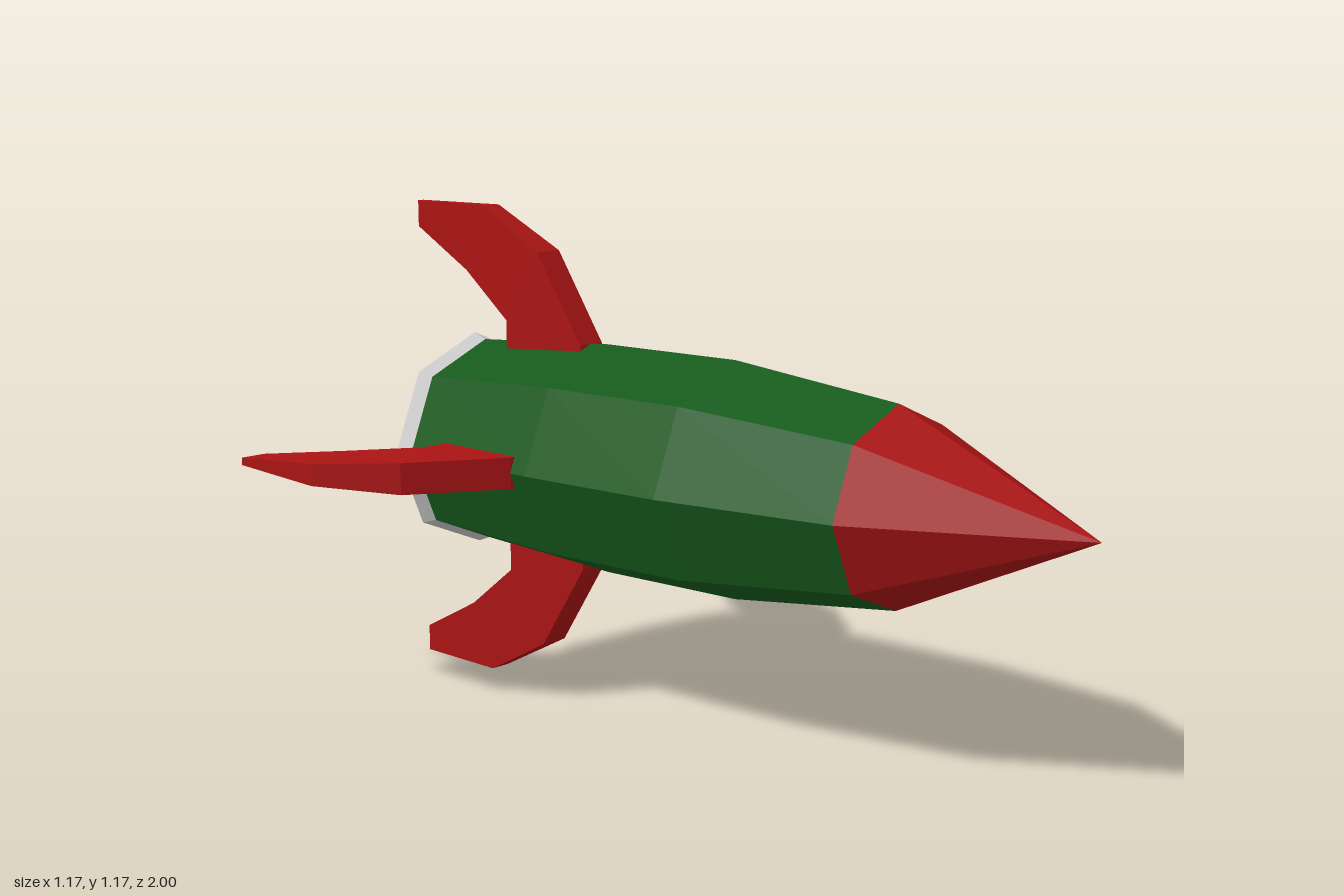
import * as THREE from 'three';

const AXIS_Y = 0.585;
const SIDES = 8;
const paint = (color) => new THREE.MeshStandardMaterial({ color, flatShading: true });

// Eight-sided hull section along z, from radius rFront at zFront to rBack at zBack
function hullSection(name, zFront, rFront, zBack, rBack, material) {
  const geo = new THREE.CylinderGeometry(rFront, rBack, zFront - zBack, SIDES, 1, true);
  geo.rotateX(Math.PI / 2);
  const mesh = new THREE.Mesh(geo, material);
  mesh.name = name;
  mesh.position.z = (zFront + zBack) / 2;
  return mesh;
}

// Swept fin growing along +y: a loft through four-cornered cross-sections
function finGeometry() {
  // [leading z, leading radius, trailing z, trailing radius, half thickness]
  const sections = [
    [-0.41, 0.2, -0.66, 0.18, 0.037],
    [-0.41, 0.272, -0.66, 0.245, 0.037],
    [-0.55, 0.484, -0.66, 0.312, 0.037],
    [-0.745, 0.585, -0.81, 0.424, 0.026],
    [-1, 0.585, -1, 0.52, 0.009],
  ];
  const positions = [];
  for (const [zl, rl, zt, rt, w] of sections) {
    positions.push(w, rl, zl, w, rt, zt, -w, rt, zt, -w, rl, zl);
  }
  const index = [0, 2, 1, 0, 3, 2];
  const last = sections.length - 1;
  for (let i = 0; i < last; i++) {
    for (let k = 0; k < 4; k++) {
      const a = i * 4 + k, b = i * 4 + ((k + 1) % 4);
      index.push(a, b, b + 4, a, b + 4, a + 4);
    }
  }
  const t = last * 4;
  index.push(t, t + 1, t + 2, t, t + 2, t + 3);
  const geo = new THREE.BufferGeometry();
  geo.setAttribute('position', new THREE.Float32BufferAttribute(positions, 3));
  geo.setIndex(index);
  const flat = geo.toNonIndexed();
  flat.computeVertexNormals();
  return flat;
}

export function createModel() {
  const red = paint(0xaa1414), green = paint(0x165a1b), grey = paint(0xcccccc);
  const rocket = new THREE.Group();
  rocket.name = 'rocket';
  rocket.position.y = AXIS_Y;

  // Pointed nose and three-part hull
  rocket.add(
    hullSection('noseCone', 1, 0, 0.495, 0.227, red),
    hullSection('frontHull', 0.495, 0.227, 0.04, 0.277, green),
    hullSection('middleHull', 0.04, 0.277, -0.36, 0.277, green),
    hullSection('rearHull', -0.36, 0.277, -0.775, 0.252, green),
    hullSection('engineRim', -0.775, 0.252, -0.812, 0.266, grey),
  );

  // Flat plate closing the tail
  const plate = new THREE.Mesh(new THREE.CircleGeometry(0.266, SIDES), grey);
  plate.name = 'enginePlate';
  plate.rotation.y = Math.PI;
  plate.position.z = -0.812;
  rocket.add(plate);

  // Four fins around the tail
  const fin = finGeometry();
  ['topFin', 'rightFin', 'bottomFin', 'leftFin'].forEach((name, i) => {
    const mesh = new THREE.Mesh(fin, red);
    mesh.name = name;
    mesh.rotation.z = (i * Math.PI) / 2;
    rocket.add(mesh);
  });

  const model = new THREE.Group();
  model.name = 'rocketModel';
  model.add(rocket);
  return model;
}
